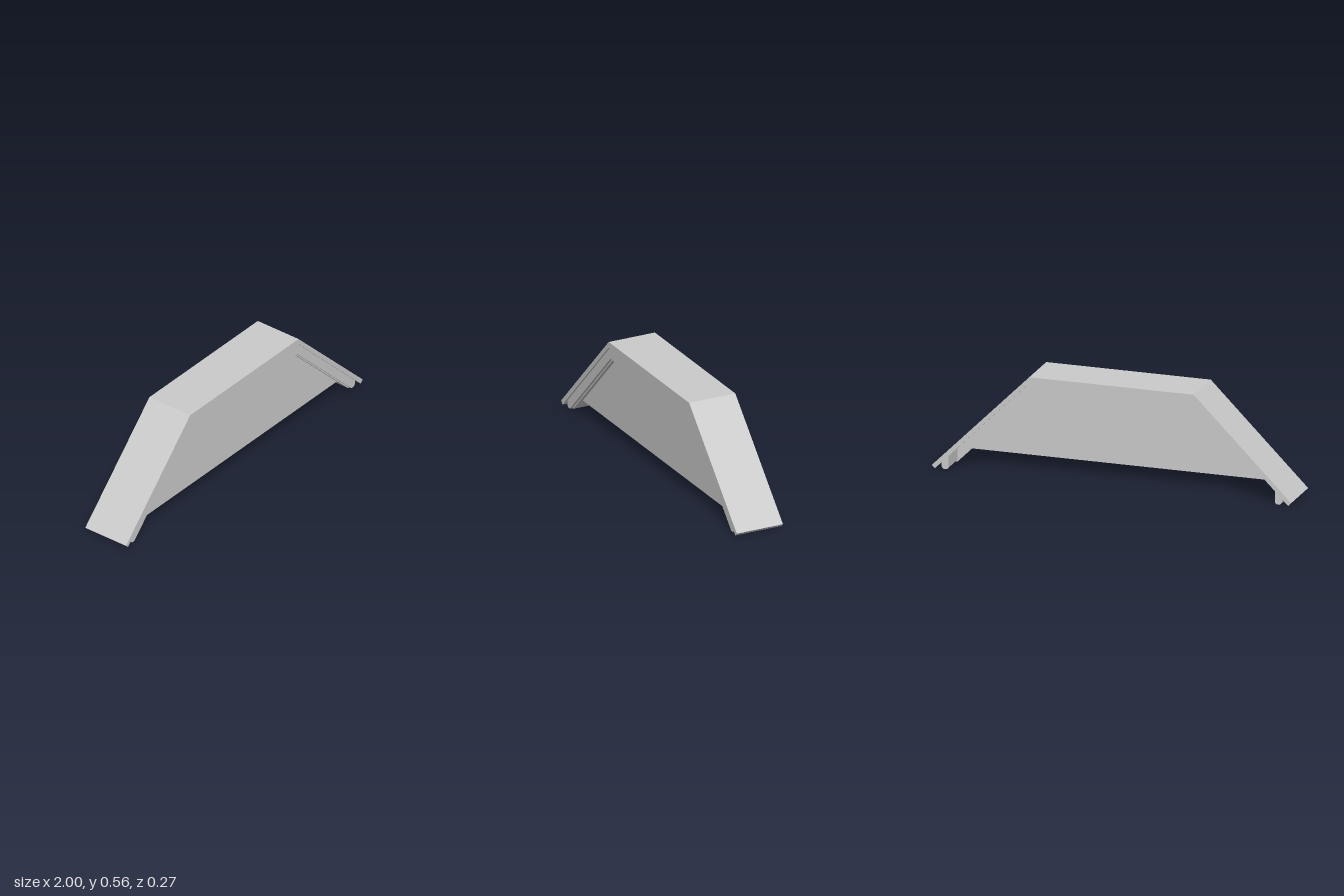
import * as THREE from 'three';

const material = new THREE.MeshStandardMaterial({ color: 0xcccccc, flatShading: true });

// Extrude an outline in the xy plane from z0 to z1
function slab(name, points, z0, z1) {
  const shape = new THREE.Shape(points.map(([x, y]) => new THREE.Vector2(x, y)));
  const geometry = new THREE.ExtrudeGeometry(shape, { depth: z1 - z0, bevelEnabled: false });
  geometry.translate(0, 0, z0);
  const mesh = new THREE.Mesh(geometry, material);
  mesh.name = name;
  return mesh;
}

const mirrorX = (points) => points.map(([x, y]) => [-x, y]).reverse();

// Complete a right-hand half outline with its mirror image
const symmetric = (half) => [...half, ...mirrorX(half)];

export function createModel() {
  const group = new THREE.Group();
  group.name = 'mansardRoofSection';

  const back = -0.137, front = 0.137;
  const ribBack = 0.007, ribStep = 0.112, ribFront = 0.127;
  const hip = 0.458; // x where the flat top meets the slopes

  // Outer roof skin: flat top with two 45 degree slopes
  group.add(slab('roofShell', symmetric([
    [hip, 0.559], [1, 0.017], [0.983, 0], [hip, 0.526],
  ]), back, front));

  // Rib under the front part of the skin, and a shallower trim before it
  const ribOutline = (bottom) => symmetric([
    [hip, 0.526], [0.948, 0.036], [0.948, 0.012], [0.936, 0],
    [hip + bottom, 0], [hip, bottom],
  ]);
  group.add(slab('rib', ribOutline(0.45), ribBack, ribStep));
  group.add(slab('frontTrim', ribOutline(0.46), ribStep, ribFront));

  // Wall panel filling the opening below the rib
  group.add(slab('wallPanel', symmetric([
    [hip, 0.45], [hip + 0.38, 0.07],
  ]), 0.043, 0.092));

  // Feet carrying the open rear half of the slopes
  const foot = [
    [0.948, 0.036], [0.908, 0.076], [0.908, 0.01], [0.918, 0], [0.936, 0], [0.948, 0.012],
  ];
  group.add(slab('leftFoot', foot, -0.132, ribBack));
  group.add(slab('rightFoot', mirrorX(foot), -0.132, ribBack));

  return group;
}
